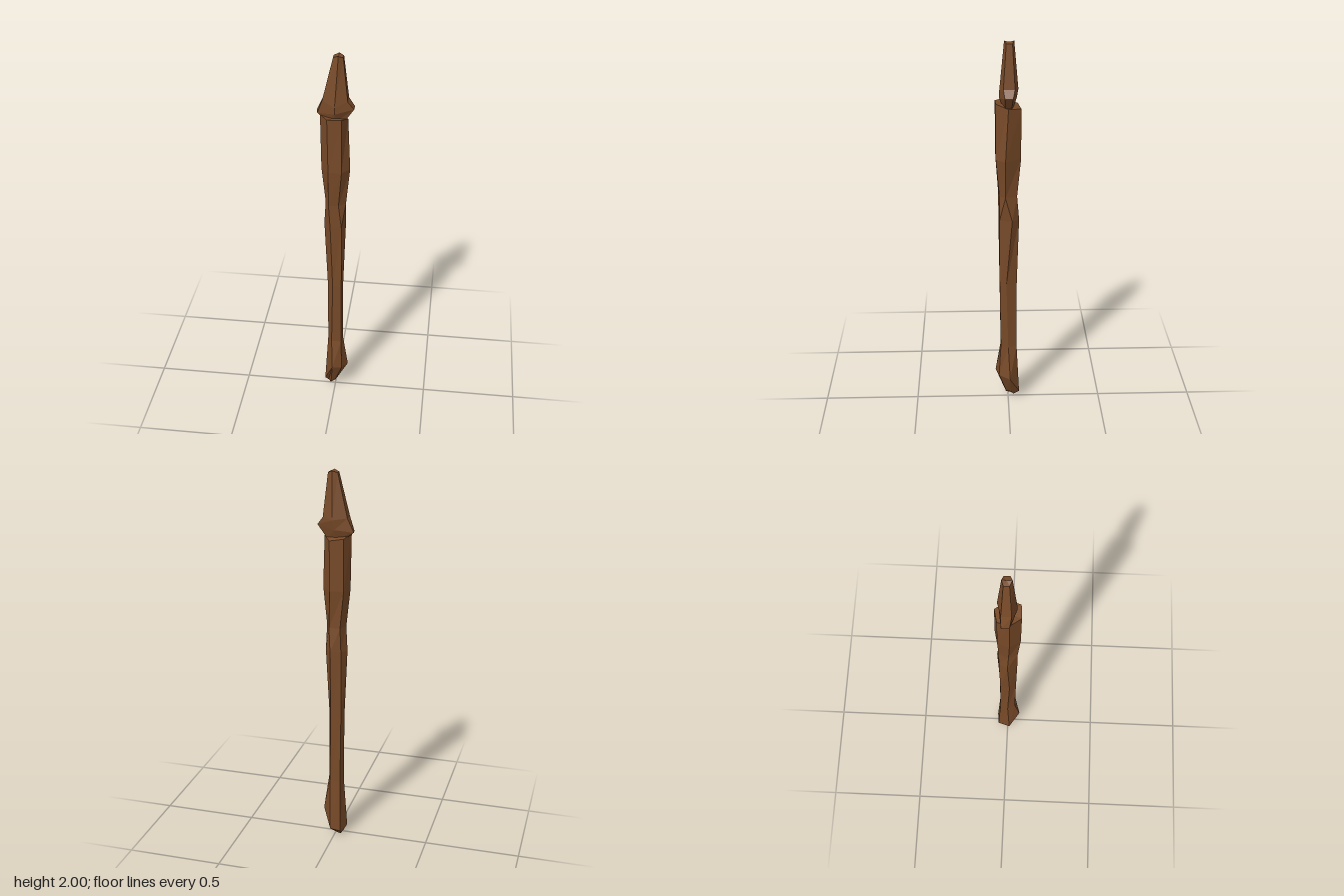
import * as THREE from 'three';

// Six-sided loft. Each ring is [y (one value or six), six x, six z],
// listed from the +x side through the front, -x side and back.
function loft(name, rings, material) {
  const pts = rings.map(([y, x, z]) =>
    x.map((v, i) => new THREE.Vector3(v, Array.isArray(y) ? y[i] : y, z[i])));
  const out = [];
  const tri = (...vs) => vs.forEach(v => out.push(v.x, v.y, v.z));
  const centre = ring => ring.reduce((s, p) => s.add(p), new THREE.Vector3()).divideScalar(6);
  const low = pts[0], high = pts[pts.length - 1];
  const lowMid = centre(low), highMid = centre(high);
  for (let i = 0; i < 6; i++) {
    const j = (i + 1) % 6;
    for (let k = 0; k < pts.length - 1; k++) {
      const a = pts[k], b = pts[k + 1];
      tri(a[i], b[i], a[j]);
      tri(a[j], b[i], b[j]);
    }
    tri(lowMid, low[i], low[j]);
    tri(highMid, high[j], high[i]);
  }
  const geometry = new THREE.BufferGeometry();
  geometry.setAttribute('position', new THREE.Float32BufferAttribute(out, 3));
  geometry.computeVertexNormals();
  const mesh = new THREE.Mesh(geometry, material);
  mesh.name = name;
  return mesh;
}

export function createModel() {
  const group = new THREE.Group();
  group.name = 'woodenStake';
  const wood = new THREE.MeshStandardMaterial({ color: 0x784a28, flatShading: true });

  // Shaft: slanted chipped foot, thin grip, waist and thick upper end
  group.add(loft('shaft', [
    [[0.03, 0.03, 0.01, 0.01, 0.0, 0.01],
      [0.01, 0.0, -0.025, -0.04, -0.03, 0.0], [-0.015, 0.01, 0.01, -0.01, -0.03, -0.03]],
    [[0.14, 0.155, 0.165, 0.04, 0.03, 0.04],
      [0.068, 0.04, -0.01, -0.057, -0.035, 0.02], [-0.01, 0.05, 0.068, 0.01, -0.055, -0.06]],
    [0.33, [0.042, 0.035, -0.017, -0.04, -0.03, 0.025], [0, 0.04, 0.04, 0, -0.042, -0.045]],
    [0.7, [0.042, 0.036, -0.01, -0.04, -0.034, 0.02], [0.01, 0.045, 0.045, 0.01, -0.04, -0.045]],
    [1.07, [0.052, 0.035, -0.022, -0.058, -0.035, 0.02], [-0.02, 0.045, 0.05, 0, -0.045, -0.056]],
    [1.2, [0.055, 0.02, -0.03, -0.05, -0.03, 0.028], [0.015, 0.045, 0.05, 0.005, -0.045, -0.045]],
    [1.4, [0.075, 0.037, -0.03, -0.07, -0.05, 0.018], [0.015, 0.063, 0.064, 0.01, -0.05, -0.065]],
    [[1.67, 1.69, 1.69, 1.69, 1.67, 1.66],
      [0.062, 0.035, -0.035, -0.075, -0.05, 0.02], [0, 0.062, 0.066, 0.01, -0.05, -0.065]],
  ], wood));

  // Head: narrow neck, flared barbs and a tapering blunt point
  group.add(loft('spearHead', [
    [1.66, [0.045, 0, -0.045, -0.045, 0, 0.045], [0.015, 0.025, 0.015, -0.015, -0.025, -0.015]],
    [[1.73, 1.71, 1.7, 1.7, 1.71, 1.73],
      [0.092, 0, -0.088, -0.095, 0, 0.092], [0.018, 0.044, 0.012, -0.028, -0.042, -0.022]],
    [[1.77, 1.745, 1.77, 1.77, 1.76, 1.77],
      [0.062, 0, -0.063, -0.063, 0.01, 0.062], [0.025, 0.044, 0.02, -0.03, -0.05, -0.032]],
    [[1.99, 2, 1.99, 1.99, 2, 1.99],
      [0.038, 0.015, -0.011, -0.011, 0.015, 0.038], [0.01, 0.02, 0.008, -0.02, -0.029, -0.02]],
  ], wood));

  return group;
}
